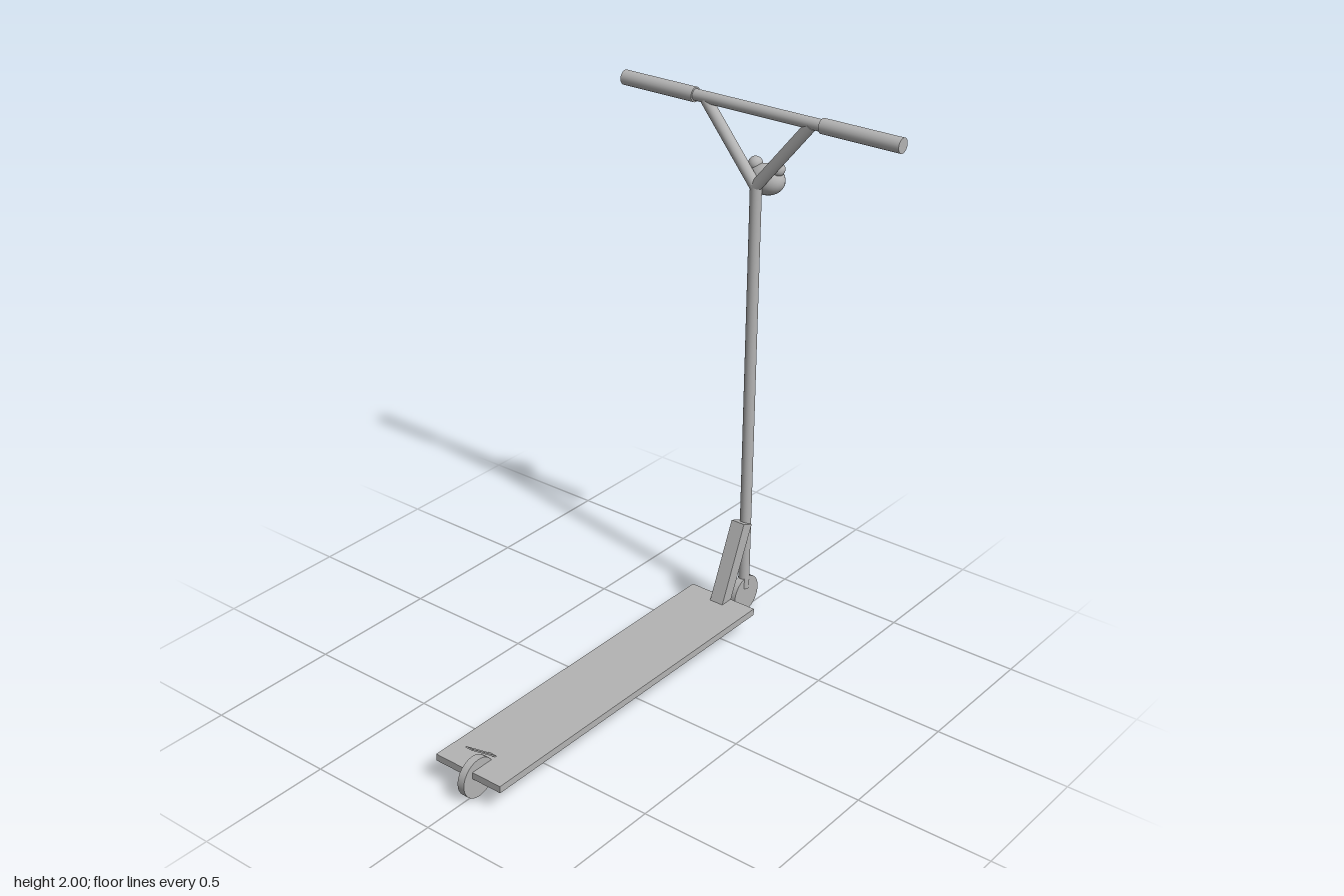
import * as THREE from 'three';

const grey = new THREE.MeshStandardMaterial({ color: 0xb3b3b3 });
grey.name = 'plain grey';

function add(parent, name, geometry, x = 0, y = 0, z = 0) {
  const mesh = new THREE.Mesh(geometry, grey);
  mesh.name = name;
  mesh.position.set(x, y, z);
  parent.add(mesh);
  return mesh;
}

// Round tube between two points
function tube(parent, name, a, b, radius) {
  const from = new THREE.Vector3(...a), to = new THREE.Vector3(...b);
  const dir = to.clone().sub(from);
  const mesh = add(parent, name, new THREE.CylinderGeometry(radius, radius, dir.length(), 24));
  mesh.position.copy(from).add(to).multiplyScalar(0.5);
  mesh.quaternion.setFromUnitVectors(new THREE.Vector3(0, 1, 0), dir.normalize());
  return mesh;
}

function ball(parent, name, radius, x, y, z) {
  return add(parent, name, new THREE.SphereGeometry(radius, 28, 20), x, y, z);
}

export function createModel() {
  const scooter = new THREE.Group();
  scooter.name = 'kickScooter';
  const steerX = 0.72, barY = 1.973, mid = 0.002;

  // Deck
  add(scooter, 'deck', new THREE.BoxGeometry(1.4, 0.026, 0.284), -0.1, 0.098, -0.005);

  // Wheels
  for (const [name, x] of [['frontWheel', steerX], ['rearWheel', -0.77]]) {
    const wheel = add(scooter, name, new THREE.CylinderGeometry(0.073, 0.073, 0.028, 40), x, 0.073, mid);
    wheel.rotation.x = Math.PI / 2;
  }

  // Thin brake flap over the rear wheel
  const flap = add(scooter, 'brakeFlap', new THREE.BoxGeometry(0.145, 0.005, 0.028), -0.741, 0.155, mid);
  flap.rotation.z = Math.atan2(-0.09, 0.113);

  // Slanted neck joining deck and stem
  const side = new THREE.Shape([
    [0.543, 0.1], [0.597, 0.1], [0.721, 0.38], [0.671, 0.4],
  ].map(([x, y]) => new THREE.Vector2(x, y)));
  add(scooter, 'neck', new THREE.ExtrudeGeometry(side, { depth: 0.056, bevelEnabled: false }), 0, 0, mid - 0.028);

  // Stem
  tube(scooter, 'stem', [steerX, 0.1, mid], [steerX, 1.71, mid], 0.021);

  // Handlebar with its forked supports and grips
  tube(scooter, 'handlebar', [steerX, barY, -0.3], [steerX, barY, 0.3], 0.021);
  for (const s of [1, -1]) {
    tube(scooter, 'forkArm', [steerX, 1.7, 0], [steerX, 1.965, s * 0.218], 0.021);
    tube(scooter, 'grip', [steerX, barY, s * 0.263], [steerX, barY, s * 0.575], 0.027);
  }

  // Frog head ornament, looking forward along +x
  const head = new THREE.Group();
  head.name = 'frogHead';
  head.position.set(0.78, 1.71, mid);
  scooter.add(head);
  ball(head, 'skull', 1, 0, 0, 0).scale.set(0.055, 0.055, 0.072);
  for (const s of [1, -1]) {
    ball(head, 'eye', 0.026, 0, 0.047, s * 0.047);
    ball(head, 'nostril', 0.007, 0.05, 0.016, s * 0.02);
  }
  return scooter;
}
